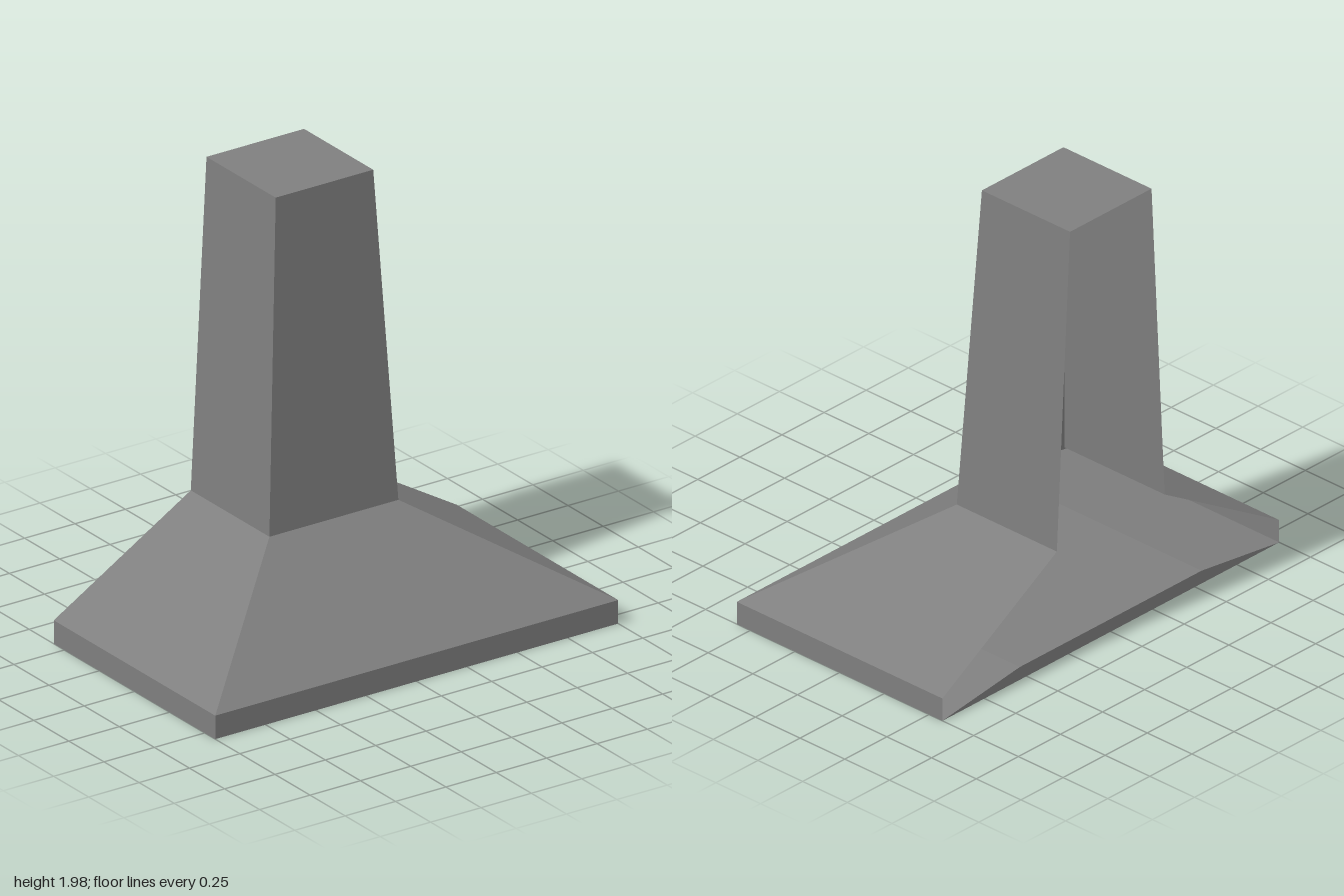
import * as THREE from 'three';

const BACK = -0.575;
const FRONT = 0.575;

// Flat-shaded surface from a list of quads (four corners, counter-clockwise)
function quadMesh(name, quads, material) {
  const pos = quads.flatMap(([a, b, c, d]) => [a, b, c, a, c, d].flat());
  const geo = new THREE.BufferGeometry();
  geo.setAttribute('position', new THREE.Float32BufferAttribute(pos, 3));
  geo.computeVertexNormals();
  const mesh = new THREE.Mesh(geo, material);
  mesh.name = name;
  return mesh;
}

// Three-sided outline, open at the back
const outline = ({ half, front, y }) => [
  [-half, y, BACK], [-half, y, front], [half, y, front], [half, y, BACK],
];

// Walls joining two outlines
function walls(lower, upper) {
  const a = outline(lower), b = outline(upper);
  return [0, 1, 2].map((i) => [a[i], a[i + 1], b[i + 1], b[i]]);
}

export function createModel() {
  const group = new THREE.Group();
  group.name = 'chimneyHood';
  const stone = new THREE.MeshStandardMaterial({ color: 0x7f7f7f, side: THREE.DoubleSide });
  stone.name = 'grey';

  const bottom = { half: 1, front: FRONT, y: 0 };
  const rim = { half: 1, front: FRONT, y: 0.105 };
  const neck = { half: 0.32, front: -0.015, y: 0.51 };
  const top = { half: 0.242, front: -0.082, y: 1.98 };

  group.add(quadMesh('rimBand', walls(bottom, rim), stone));
  group.add(quadMesh('slopedHood', walls(rim, neck), stone));
  group.add(quadMesh('flue', walls(neck, top), stone));

  const t = outline(top);
  group.add(quadMesh('flueCap', [[t[0], t[1], t[2], t[3]]], stone));

  // Shallow arched underside
  const arch = [[-1, 0], [-0.54, 0.06], [0.54, 0.06], [1, 0]];
  const underside = [0, 1, 2].map((i) => {
    const [x0, y0] = arch[i], [x1, y1] = arch[i + 1];
    return [[x0, y0, BACK], [x1, y1, BACK], [x1, y1, FRONT], [x0, y0, FRONT]];
  });
  group.add(quadMesh('archedUnderside', underside, stone));

  // Low strip closing the back below the arch
  const strip = [...arch].reverse().map(([x, y]) => [x, y, BACK]);
  group.add(quadMesh('backStrip', [[strip[0], strip[3], strip[2], strip[1]]], stone));

  return group;
}
